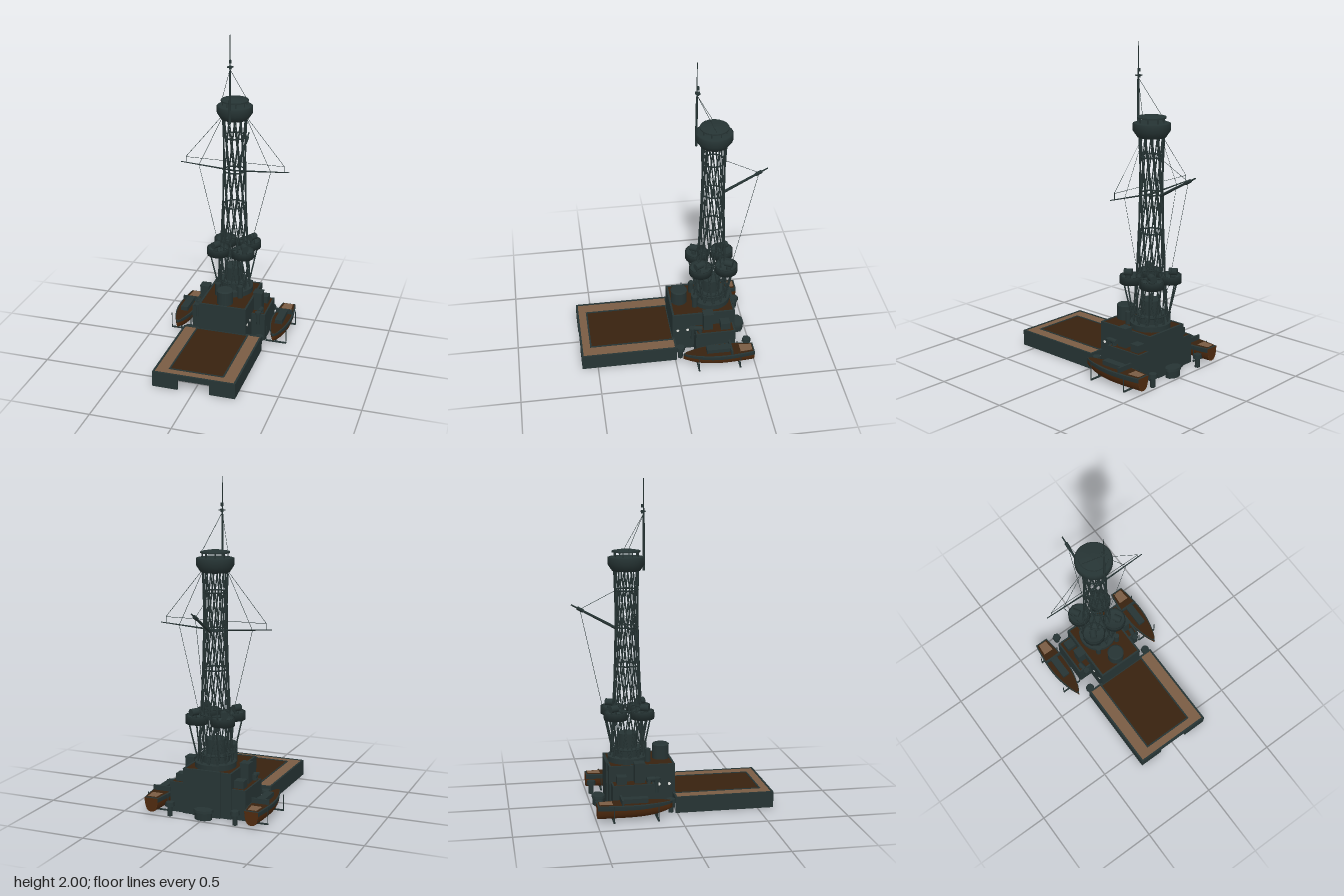
import * as THREE from 'three';
import { ParametricGeometry } from 'three/addons/geometries/ParametricGeometry.js';

const mat = (name, color) => {
  const m = new THREE.MeshStandardMaterial({ color, side: THREE.DoubleSide });
  m.name = name;
  return m;
};
const V = (x, y, z) => new THREE.Vector3(x, y, z);

export function createModel() {
  const root = new THREE.Group();
  const steel = mat('dark steel', 0x263434), brown = mat('deck brown', 0x38220f);
  const tan = mat('tan planking', 0x7a5c43), wood = mat('hull wood', 0x4f2a0e);
  const white = mat('porthole white', 0xe8e8e4);
  const MZ = -0.265; // mast centre line

  const add = (name, geo, m, x = 0, y = 0, z = 0, parent = root) => {
    const mesh = new THREE.Mesh(geo, m);
    mesh.name = name;
    mesh.position.set(x, y, z);
    parent.add(mesh);
    return mesh;
  };
  // Box given by its limits
  const box = (name, m, x0, x1, y0, y1, z0, z1, parent) =>
    add(name, new THREE.BoxGeometry(x1 - x0, y1 - y0, z1 - z0), m, (x0 + x1) / 2, (y0 + y1) / 2, (z0 + z1) / 2, parent);
  const drum = (name, r0, r1, y0, y1, x, z, n = 16, parent = root) =>
    add(name, new THREE.CylinderGeometry(r1, r0, y1 - y0, n), steel, x, (y0 + y1) / 2, z, parent);
  // Straight round bar between two points
  const rod = (name, a, b, r0, r1 = r0, n = 5, parent = root) => {
    const d = b.clone().sub(a);
    const mesh = add(name, new THREE.CylinderGeometry(r1, r0, d.length(), n), steel, 0, 0, 0, parent);
    mesh.position.copy(a).lerp(b, 0.5);
    mesh.quaternion.setFromUnitVectors(V(0, 1, 0), d.normalize());
    return mesh;
  };
  // Four walls, open above and below
  const walls = (name, hx, y0, y1, z0, z1, t = 0.012) => {
    const s = new THREE.Shape([[-hx, -z0], [hx, -z0], [hx, -z1], [-hx, -z1]].map(p => new THREE.Vector2(...p)));
    s.holes.push(new THREE.Path([[-hx + t, -z0 - t], [-hx + t, -z1 + t], [hx - t, -z1 + t], [hx - t, -z0 - t]].map(p => new THREE.Vector2(...p))));
    const g = new THREE.ExtrudeGeometry(s, { depth: y1 - y0, bevelEnabled: false });
    return add(name, g.rotateX(-Math.PI / 2), steel, 0, y0, 0);
  };

  // Forward deck with a low opening in its front wall
  walls('foredeckUpperWall', 0.26, 0.065, 0.1, -0.01, 0.6);
  for (const s of [-1, 1]) {
    box('foredeckSideWall', steel, s * 0.254 - 0.006, s * 0.254 + 0.006, 0, 0.065, -0.01, 0.6);
    box('foredeckFrontWall', steel, s * 0.175 - 0.075, s * 0.175 + 0.075, 0, 0.065, 0.588, 0.6);
    box('deckBorderSide', tan, s * 0.211 - 0.037, s * 0.211 + 0.037, 0.09, 0.097, 0, 0.588);
    box('hatchFrameSide', steel, s * 0.169 - 0.005, s * 0.169 + 0.005, 0.086, 0.1, 0, 0.54);
  }
  box('deckBorderFront', tan, -0.174, 0.174, 0.09, 0.097, 0.54, 0.588);
  box('hatchFrameFront', steel, -0.174, 0.174, 0.086, 0.1, 0.53, 0.54);
  box('hatchFrameRear', steel, -0.174, 0.174, 0.086, 0.1, 0, 0.01);
  box('centreDeck', brown, -0.164, 0.164, 0.09, 0.097, 0.01, 0.53);

  // Deckhouse and wing decks
  walls('frontHouse', 0.156, 0, 0.28, -0.4, 0.005);
  box('houseRoof', brown, -0.146, 0.146, 0.27, 0.277, -0.39, -0.005);
  walls('wingHouse', 0.245, 0, 0.185, -0.39, -0.135, 0.01);
  box('wingDeck', brown, -0.238, 0.238, 0.176, 0.183, -0.383, -0.142);
  for (const s of [-1, 1]) {
    for (const z of [-0.03, -0.093]) {
      const p = add('porthole', new THREE.CylinderGeometry(0.009, 0.009, 0.004, 12), white, s * 0.157, 0.155, z);
      p.rotation.z = Math.PI / 2;
    }
    // Lockers and small guns on the wings
    box('wingLocker', steel, s * 0.18 - 0.028, s * 0.18 + 0.028, 0.183, 0.3, -0.25, -0.19);
    box('wingLockerLid', steel, s * 0.18 - 0.031, s * 0.18 + 0.031, 0.3, 0.307, -0.253, -0.187);
    box('wingLockerLow', steel, s * 0.19 - 0.03, s * 0.19 + 0.03, 0.183, 0.23, -0.36, -0.3);
    drum('gunPedestal', 0.015, 0.012, 0.183, 0.205, s * 0.215, -0.165, 10);
    rod('gunBody', V(s * 0.212, 0.205, -0.18), V(s * 0.205, 0.205, -0.13), 0.016, 0.016, 10);
    drum('sideVent', 0.012, 0.012, 0.12, 0.2, s * 0.205, -0.118, 8);
    drum('sideVentCap', 0.02, 0.02, 0.2, 0.212, s * 0.205, -0.113, 8);
    rod('sideVentBracket', V(s * 0.205, 0.15, -0.118), V(s * 0.205, 0.15, -0.14), 0.005);
    drum('rearVentPipe', 0.018, 0.018, 0.28, 0.36, s * 0.075, -0.15, 10);
    // Mushroom vents standing beside the house
    for (const [x, z, n] of [[0.21, -0.47, 6], [0.235, -0.035, 8]]) {
      drum('mushroomVentStem', 0.016, 0.016, 0, 0.06, s * x, z, 8);
      drum('mushroomVentCap', 0.03, 0.026, 0.06, 0.085, s * x, z, n);
    }
  }
  box('rearHouse', steel, -0.09, 0.09, 0, 0.285, -0.41, -0.395);
  // Conning tower, mast base and funnel
  drum('conningTower', 0.052, 0.052, 0.277, 0.365, 0, -0.058, 20);
  drum('conningTowerRoof', 0.054, 0.046, 0.365, 0.372, 0, -0.058, 20);
  drum('mastBase', 0.125, 0.125, 0.277, 0.31, 0, MZ, 24);
  drum('innerDrum', 0.085, 0.085, 0.31, 0.36, 0, MZ, 20);
  drum('funnel', 0.06, 0.06, 0.36, 0.45, 0, MZ, 20);
  // Rear hatch trunk
  const trunk = drum('rearHatchTrunk', 0.055, 0.055, 0, 0.045, 0, -0.45, 8);
  const lid = drum('rearHatchLid', 0.064, 0.06, 0.045, 0.06, 0, -0.45, 8);
  for (const m of [trunk, lid]) { m.geometry.rotateY(Math.PI / 8); m.scale.z = 0.68; }

  // Lattice mast: two families of twisted bars and hoops
  const y0 = 0.29, y1 = 1.47;
  const radius = y => 0.069 + 0.04 * Math.pow(Math.max(0, (1.2 - y) / 0.91), 1.7) + 0.1 * Math.pow(Math.max(0, y - 1.2), 2);
  const lattice = new THREE.Group();
  lattice.name = 'latticeMast';
  root.add(lattice);
  for (const dir of [-1, 1]) for (let i = 0; i < 12; i++) {
    const pts = [];
    for (let k = 0; k <= 10; k++) {
      const y = y0 + (y1 - y0) * k / 10, a = i * Math.PI / 6 + dir * k * 0.19, r = radius(y);
      pts.push(V(r * Math.sin(a), y, MZ + r * Math.cos(a)));
    }
    add('latticeBar', new THREE.TubeGeometry(new THREE.CatmullRomCurve3(pts), 20, 0.0042, 5), steel, 0, 0, 0, lattice);
  }
  for (const y of [0.36, 0.6, 0.875, 1.11, 1.335])
    add('latticeHoop', new THREE.TorusGeometry(radius(y), 0.005, 5, 24).rotateX(Math.PI / 2), steel, 0, y, MZ, lattice);

  // Four searchlight platforms with struts
  for (const sx of [-1, 1]) for (const sz of [-1, 1]) {
    const x = sx * 0.082, z = MZ + sz * 0.082;
    const tub = [[0, 0.555], [0.073, 0.555], [0.073, 0.603], [0.068, 0.603], [0.068, 0.575], [0, 0.575]];
    add('searchlightPlatform', new THREE.LatheGeometry(tub.map(p => new THREE.Vector2(...p)), 14), steel, x, 0, z);
    drum('searchlightStand', 0.016, 0.016, 0.575, 0.6, x + sx * 0.014, z + sz * 0.014, 8);
    const c = V(x + sx * 0.014, 0.622, z + sz * 0.014), d = V(sx * 0.012, 0, sz * 0.022);
    rod('searchlight', c.clone().sub(d), c.clone().add(d), 0.022, 0.022, 12);
    rod('platformStrut', V(sx * 0.13, 0.56, z + sz * 0.02), V(sx * 0.09, 0.34, MZ + sz * 0.07), 0.005);
    rod('platformStrut', V(x - sx * 0.02, 0.56, z + sz * 0.055), V(sx * 0.06, 0.34, MZ + sz * 0.09), 0.005);
  }

  // Lookout top
  const top = [[0, 1.45], [0.085, 1.45], [0.112, 1.49], [0.112, 1.532], [0.104, 1.535], [0, 1.535]];
  add('lookoutTop', new THREE.LatheGeometry(top.map(p => new THREE.Vector2(...p)), 24), steel, 0, 0, MZ);
  for (let i = 0; i < 8; i++) {
    const a = (i + 0.5) * Math.PI / 4, x = 0.075 * Math.sin(a), z = MZ + 0.075 * Math.cos(a);
    rod('roofPost', V(x, 1.53, z), V(x, 1.57, z), 0.004);
  }
  drum('lookoutRoof', 0.087, 0.087, 1.562, 1.571, 0, MZ, 24);
  drum('lookoutRoofCrown', 0.087, 0.02, 1.571, 1.582, 0, MZ, 24);

  // Topmast and signal lamps
  const TZ = -0.157;
  rod('topmast', V(0, 1.45, TZ), V(0, 1.78, TZ), 0.008, 0.006, 8);
  rod('topmastPole', V(0, 1.78, TZ), V(0, 2, TZ), 0.004, 0.002);
  for (const y of [1.79, 1.825]) drum('signalLamp', 0.009, 0.009, y, y + 0.02, 0, TZ - 0.006, 8);
  box('lampArm', steel, -0.016, 0.016, 1.8, 1.806, TZ - 0.018, TZ + 0.01);

  // Yards and rigging
  const wire = (a, b) => rod('rigging', a, b, 0.0014, 0.0014, 4);
  for (const s of [-1, 1]) {
    rod('yard', V(0, 1.105, MZ), V(s * 0.355, 1.13, MZ), 0.006, 0.003);
    wire(V(0, 1.165, MZ), V(s * 0.32, 1.165, MZ));
    rod('yardPost', V(s * 0.32, 1.125, MZ), V(s * 0.32, 1.17, MZ), 0.002);
    wire(V(s * 0.32, 1.168, MZ), V(s * 0.08, 1.46, MZ));
    wire(V(s * 0.235, 1.12, MZ), V(s * 0.08, 1.45, MZ));
    wire(V(s * 0.235, 1.12, MZ), V(s * 0.11, 0.6, MZ));
    wire(V(0, 1.79, TZ), V(s * 0.08, 1.575, MZ));
  }
  // Rear boom
  const b0 = V(0, 1.105, -0.335), b1 = V(0, 1.252, -0.6), at = t => b0.clone().lerp(b1, t);
  rod('boom', b0, at(0.8), 0.009, 0.007, 8);
  rod('boomSleeve', at(0.72), at(0.86), 0.011, 0.011, 8);
  rod('boomTip', at(0.8), b1, 0.006, 0.004, 6);
  wire(V(0, 1.33, -0.335), at(0.8));
  wire(at(0.8), V(0, 0.42, -0.375));

  // Ship's boats
  const halfWidth = t => 0.064 * (t < 0.45 ? 0.68 + 0.32 * Math.sin(t / 0.45 * Math.PI / 2)
    : Math.pow(Math.cos((t - 0.45) / 0.55 * Math.PI / 2) + 1e-6, 0.75));
  const zAt = t => -0.495 + 0.455 * t;
  const hull = (v0, v1) => new ParametricGeometry((t, v, p) => {
    const a = Math.PI * (v0 + (v1 - v0) * v), w = halfWidth(t);
    const depth = 0.085 - 0.045 * Math.pow(t, 5);
    p.set(w * Math.sign(Math.cos(a)) * Math.pow(Math.abs(Math.cos(a)), 0.7), 0.102 - depth * Math.sin(a), zAt(t));
  }, 20, 12);
  const outline = (k, t0, t1) => {
    const pts = [];
    for (let i = 0; i <= 16; i++) {
      const t = t0 + (t1 - t0) * i / 16;
      pts.push(new THREE.Vector2(k * halfWidth(t), -zAt(t)));
    }
    return new THREE.Shape([...pts, ...pts.map(p => new THREE.Vector2(-p.x, p.y)).reverse()]);
  };
  const flat = s => new THREE.ShapeGeometry(s).rotateX(-Math.PI / 2);
  for (const s of [-1, 1]) {
    const boat = new THREE.Group();
    boat.name = s > 0 ? 'leftBoat' : 'rightBoat';
    boat.position.x = s * 0.322;
    root.add(boat);
    add('boatHull', hull(0.1, 0.9), wood, 0, 0, 0, boat);
    add('boatStrake', hull(0, 0.1), steel, 0, 0, 0, boat);
    add('boatStrake', hull(0.9, 1), steel, 0, 0, 0, boat);
    add('boatGunwale', flat(outline(1, 0, 1)), steel, 0, 0.102, 0, boat);
    add('boatDeck', flat(outline(0.86, 0.02, 0.97)), brown, 0, 0.105, 0, boat);
    add('boatSternPlanks', flat(outline(0.6, 0.03, 0.2)), tan, 0, 0.108, 0, boat);
    const transom = new THREE.Shape();
    transom.absellipse(0, 0, halfWidth(0), 0.085, Math.PI, Math.PI * 2);
    add('boatTransom', new THREE.ShapeGeometry(transom), wood, 0, 0.102, zAt(0), boat);
    box('boatCanopy', steel, -0.024, 0.024, 0.102, 0.132, -0.345, -0.19, boat);
    box('boatCoaming', steel, -0.055, 0.055, 0.104, 0.135, -0.352, -0.34, boat);
    // Cradles
    for (const z of [-0.4, -0.135]) {
      box('cradleBar', steel, -0.068, 0.068, 0.001, 0.009, z - 0.005, z + 0.005, boat);
      for (const e of [-1, 1]) rod('cradleArm', V(e * 0.066, 0.005, z), V(e * 0.066, 0.105, z), 0.003, 0.003, 5, boat);
      rod('cradleKeelBlock', V(0, 0.005, z), V(0, 0.03, z), 0.006, 0.006, 5, boat);
    }
  }
  return root;
}
